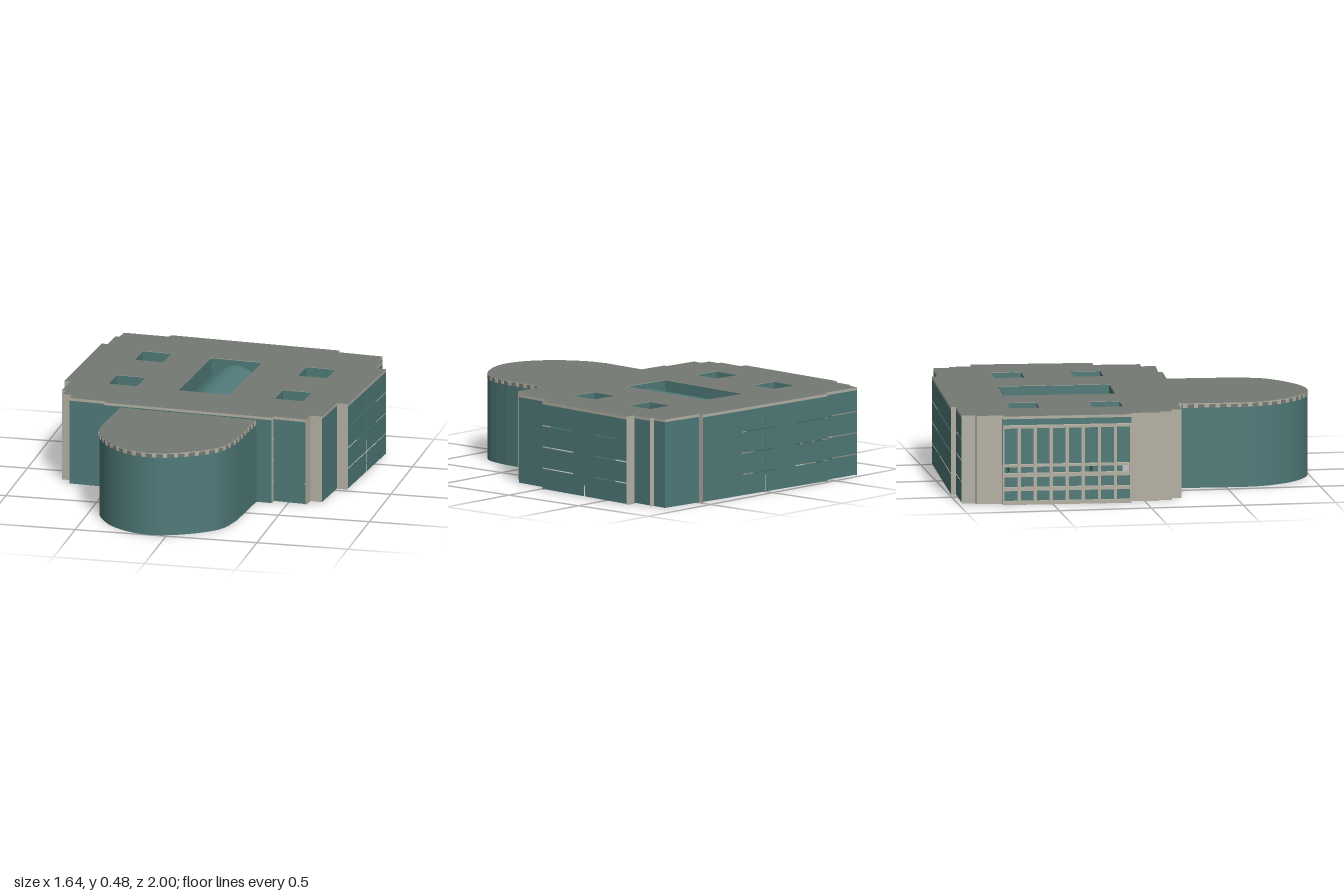
import * as THREE from 'three';

const mat = (name, color) => {
  const m = new THREE.MeshStandardMaterial({ color, side: THREE.DoubleSide });
  m.name = name;
  return m;
};
const teal = mat('teal cladding', 0x4f7a79);
const stone = mat('pale stone', 0xb4b0a3);
const slate = mat('grey roof', 0x747a73);

const EAVE = 0.465, TOP = 0.48;
const lerp = (a, b, t) => [a[0] + (b[0] - a[0]) * t, a[1] + (b[1] - a[1]) * t];

// Main outline as [x, z], clockwise from the back; one letter per edge:
// p panelled, w plain wall, c stone pier, o wing opening, g window grid
const OUTLINE = [
  [-0.446, -0.995], [0.493, -0.94], [0.49, -0.91], [0.742, -0.89], [0.736, -0.805],
  [0.763, -0.8], [0.755, -0.683], [0.812, -0.675], [0.757, -0.025], [0.695, -0.03],
  [0.673, 0.22], [0.61, 0.215], [0.6, 0.293], [0.42, 0.277], [0.415, 0.3],
  [-0.52, 0.245], [-0.515, 0.225], [-0.72, 0.21], [-0.715, 0.155], [-0.773, 0.15],
  [-0.768, 0.08], [-0.79, 0.08], [-0.778, -0.07], [-0.815, -0.077], [-0.773, -0.768],
  [-0.741, -0.763], [-0.731, -0.905], [-0.71, -0.905], [-0.7, -0.98], [-0.451, -0.968],
];
const KINDS = 'pcwwcpcpcwccpcocwccccccgccccpc';

// Upright sheet following a path of [x, z] points
function sheet(name, path, y0, y1, material) {
  const v = [];
  for (let i = 0; i + 1 < path.length; i++) {
    const [a, b] = [path[i], path[i + 1]];
    const q = [[a, y0], [a, y1], [b, y1], [a, y0], [b, y1], [b, y0]];
    for (const [p, y] of q) v.push(p[0], y, p[1]);
  }
  const g = new THREE.BufferGeometry();
  g.setAttribute('position', new THREE.Float32BufferAttribute(v, 3));
  g.computeVertexNormals();
  const m = new THREE.Mesh(g, material);
  m.name = name;
  return m;
}

// Four storeys of panels separated by narrow slits
function panels(name, a, b, parts, top = EAVE) {
  const group = new THREE.Group();
  group.name = name;
  const gap = 0.003 / Math.hypot(b[0] - a[0], b[1] - a[1]);
  for (let k = 0; k < parts; k++) {
    const s = k / parts + (k ? gap : 0);
    const e = (k + 1) / parts - (k < parts - 1 ? gap : 0);
    for (let f = 0; f < 4; f++) {
      const y1 = f === 3 ? top : 0.1155 * (f + 1);
      group.add(sheet('panel', [lerp(a, b, s), lerp(a, b, e)], f * 0.1155 + 0.006, y1, teal));
    }
  }
  return group;
}

// Box lying along a to b, between fractions s and e
function beam(name, a, b, s, e, y0, y1, depth) {
  const p = lerp(a, b, s), q = lerp(a, b, e);
  const len = Math.hypot(q[0] - p[0], q[1] - p[1]);
  const m = new THREE.Mesh(new THREE.BoxGeometry(len, y1 - y0, depth), stone);
  m.position.set((p[0] + q[0]) / 2, (y0 + y1) / 2, (p[1] + q[1]) / 2);
  m.rotation.y = -Math.atan2(q[1] - p[1], q[0] - p[0]);
  m.name = name;
  return m;
}

// Side wall: glazed stone grid below, open slot, tall recessed windows above
function windowGrid(a, b) {
  const group = new THREE.Group();
  group.name = 'windowGridWall';
  const bays = 8, half = 0.013;
  for (let i = 0; i <= bays; i++) {
    const t = i / bays;
    group.add(beam('mullion', a, b, Math.max(0, t - half), Math.min(1, t + half), 0, 0.415, 0.02));
  }
  for (const [y0, y1] of [[0, 0.02], [0.075, 0.095], [0.15, 0.17], [0.205, 0.218], [0.415, 0.43]])
    group.add(beam('rail', a, b, 0, 1, y0, y1, 0.022));
  const inset = d => [a, b].map(p => [p[0] + d, p[1]]);
  group.add(sheet('lowerPanes', inset(0.006), 0, 0.16, teal));
  group.add(sheet('upperPanes', inset(0.025), 0.212, EAVE, teal));
  return group;
}

// Roof slab with grey faces and stone edge
function slab(name, outline, holes, y0, y1) {
  const toV = pts => pts.map(p => new THREE.Vector2(p[0], -p[1]));
  const shape = new THREE.Shape(toV(outline));
  for (const h of holes) shape.holes.push(new THREE.Path(toV(h)));
  const g = new THREE.ExtrudeGeometry(shape, { depth: y1 - y0, bevelEnabled: false });
  g.rotateX(-Math.PI / 2);
  const m = new THREE.Mesh(g, [slate, stone]);
  m.position.y = y0;
  m.name = name;
  return m;
}

export function createModel() {
  const model = new THREE.Group();
  model.name = 'building';

  // Wing outline: straight flanks and a rounded end
  const arc = new THREE.SplineCurve([
    [-0.453, 0.6], [-0.437, 0.705], [-0.39, 0.805], [-0.33, 0.885], [-0.26, 0.942],
    [-0.18, 0.982], [-0.09, 0.998], [0, 0.983], [0.08, 0.95], [0.19, 0.88],
    [0.267, 0.79], [0.305, 0.637],
  ].map(p => new THREE.Vector2(...p)));
  const wing = [[-0.43, 0.25], ...arc.getPoints(33).map(p => [p.x, p.y]), [0.33, 0.295]];

  // Main walls
  OUTLINE.forEach((a, i) => {
    const b = OUTLINE[(i + 1) % OUTLINE.length];
    const long = Math.hypot(b[0] - a[0], b[1] - a[1]) > 0.5;
    const kind = KINDS[i];
    if (kind === 'p') model.add(panels('panelledWall', a, b, long ? 2 : 1));
    if (kind === 'w') model.add(sheet('plainWall', [a, b], 0, EAVE, teal));
    if (kind === 'c') model.add(sheet('stonePier', [a, b], 0, EAVE, stone));
    if (kind === 'g') model.add(windowGrid(a, b));
    if (kind === 'o') {
      model.add(sheet('frontWallLeft', [a, wing[wing.length - 1]], 0, EAVE, teal));
      model.add(sheet('frontWallRight', [wing[0], b], 0, EAVE, teal));
    }
  });

  // Light shafts and central atrium, all open through the roof
  const shafts = [[-0.453, -0.605], [0.465, -0.532], [-0.49, -0.16], [0.435, -0.108]].map(([x, z]) =>
    [[-1, -1], [1, -1], [1, 1], [-1, 1]].map(([u, w]) =>
      [x + 0.081 * u - 0.005 * w, z + 0.081 * w + 0.005 * u]));
  const atrium = [[-0.145, -0.658], [0.14, -0.64], [0.102, -0.04], [-0.185, -0.058]];
  for (const ring of [...shafts, atrium]) {
    const group = new THREE.Group();
    group.name = ring === atrium ? 'atriumWalls' : 'lightShaft';
    const c = lerp(ring[0], ring[2], 0.5);
    const inner = ring.map(p => lerp(p, c, 0.01));
    inner.forEach((p, k) => group.add(panels('shaftWall', p, inner[(k + 1) % 4], 1, TOP - 0.002)));
    model.add(group);
  }

  // Curved glass vault inside the atrium
  const vault = new THREE.PlaneGeometry(1, 1, 16, 1);
  const pos = vault.attributes.position;
  for (let i = 0; i < pos.count; i++) {
    const u = pos.getX(i) + 0.5, w = pos.getY(i) + 0.5;
    const p = lerp(lerp(atrium[3], atrium[2], u), lerp(atrium[0], atrium[1], u), w);
    pos.setXYZ(i, p[0], 0.38 + 0.07 * Math.sin(Math.PI * u), p[1]);
  }
  vault.computeVertexNormals();
  const vaultMesh = new THREE.Mesh(vault, teal);
  vaultMesh.name = 'atriumVault';
  model.add(vaultMesh);

  model.add(slab('mainRoof', OUTLINE, [...shafts, atrium], EAVE, TOP));

  // Wing: wall, clerestory of grey panes between stone blocks, roof
  model.add(sheet('wingWall', wing, 0, 0.436, teal));
  model.add(sheet('clerestoryPanes', wing, 0.436, 0.455, slate));
  const path = new THREE.CurvePath();
  for (let i = 0; i + 1 < wing.length; i++)
    path.add(new THREE.LineCurve(new THREE.Vector2(...wing[i]), new THREE.Vector2(...wing[i + 1])));
  const count = 32;
  for (let i = 0; i < count; i++) {
    const [a, b] = [i + 0.3, i + 0.7].map(t => path.getPointAt(t / count).toArray());
    model.add(beam('clerestoryBlock', a, b, 0, 1, 0.436, 0.455, 0.008));
  }
  model.add(slab('wingRoof', wing, [], 0.453, 0.46));

  return model;
}
